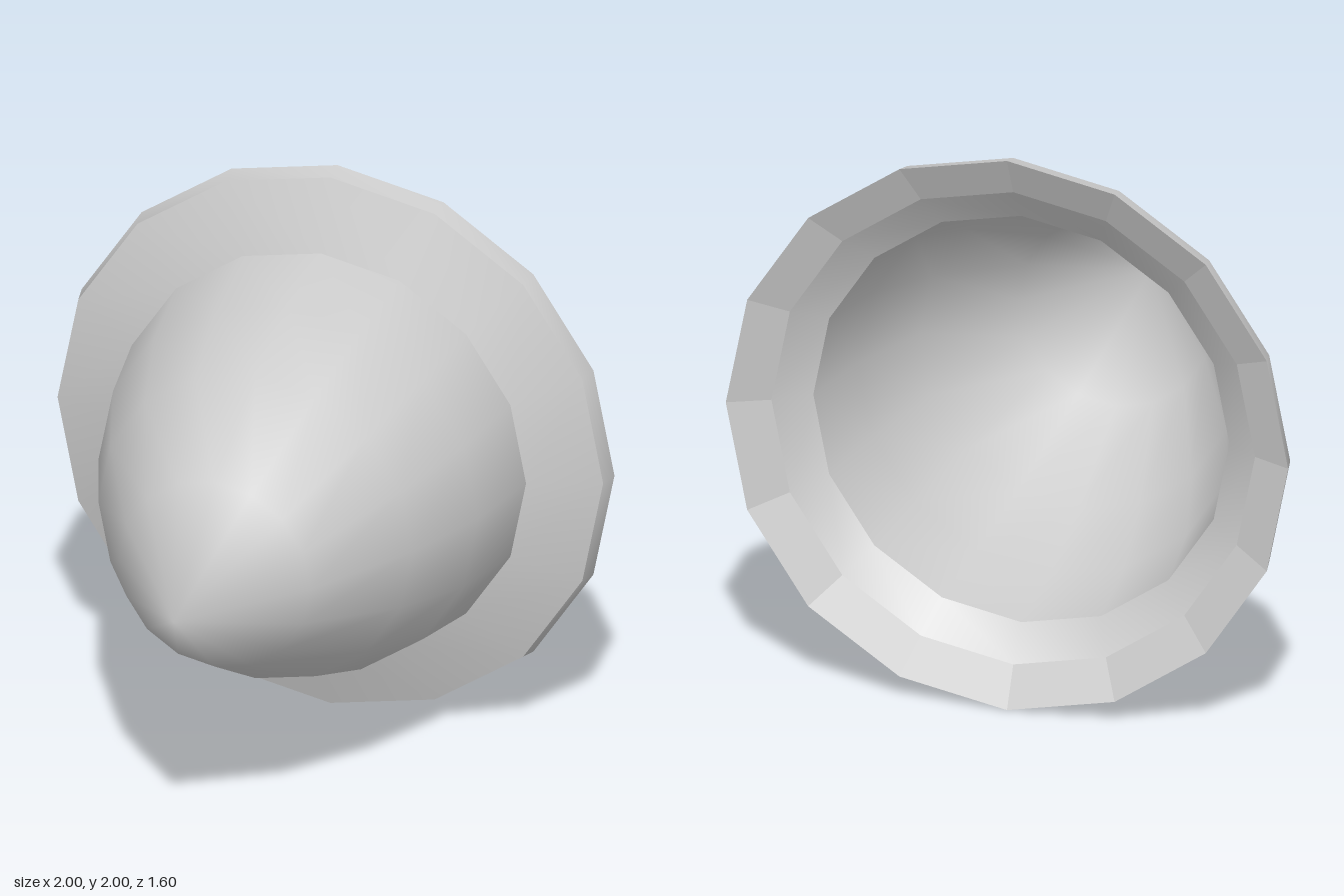
import * as THREE from 'three';
import { mergeVertices } from 'three/addons/utils/BufferGeometryUtils.js';

const SIDES = 16;
const material = new THREE.MeshStandardMaterial({ color: 0xcccccc, side: THREE.DoubleSide });
const flatMaterial = new THREE.MeshStandardMaterial({ color: 0xcccccc, side: THREE.DoubleSide, flatShading: true });

// Turns a profile of [radius, z] points around the z axis, smooth over the seam and tip
function turned(name, profile, mat = material) {
  let geometry = new THREE.LatheGeometry(profile.map(([r, z]) => new THREE.Vector2(r, z)), SIDES);
  geometry.deleteAttribute('normal');
  geometry.deleteAttribute('uv');
  geometry = mergeVertices(geometry, 1e-4);
  geometry.rotateX(Math.PI / 2);
  geometry.computeVertexNormals();
  const mesh = new THREE.Mesh(geometry, mat);
  mesh.name = name;
  mesh.position.y = 1;
  return mesh;
}

export function createModel() {
  const group = new THREE.Group();
  group.name = 'hollowCone';
  group.add(
    // Hollow bulging cone, open at the back
    turned('coneShell', [[0.74, -0.64], [0.685, -0.32], [0.567, 0], [0.345, 0.4], [0, 0.8]]),
    // Flange: sloped front and outer edge
    turned('flangeFront', [[0.985, -0.73], [0.74, -0.64]]),
    turned('rimEdge', [[1, -0.8], [0.985, -0.73]]),
    // Inside of the flange: faceted bevel, then the funnel into the cone
    turned('rimBevel', [[0.86, -0.73], [1, -0.8]], flatMaterial),
    turned('flangeInside', [[0.74, -0.64], [0.86, -0.73]])
  );
  return group;
}
